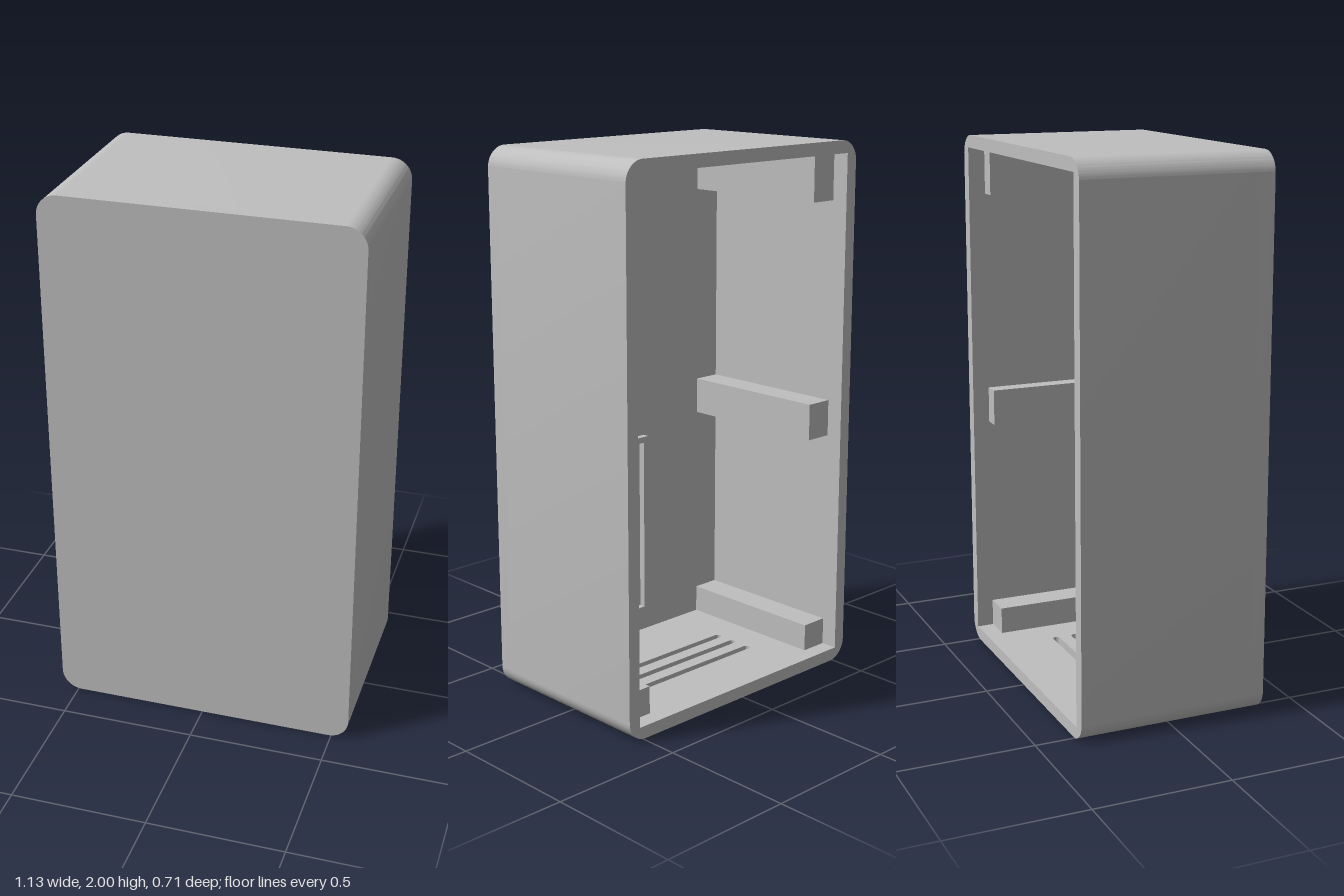
import * as THREE from 'three';
import { toCreasedNormals } from 'three/addons/utils/BufferGeometryUtils.js';

const W = 0.563, H = 2, D = 0.353, T = 0.047, R = 0.075; // half width, height, half depth, wall, corner radius
const FRONT = D - T; // inner face of the front wall
const GAP = 0.4;     // half width of the slotted floor panel

export function createModel() {
  const group = new THREE.Group();
  const grey = new THREE.MeshStandardMaterial({ color: 0xbfbfbf });
  grey.name = 'grey plastic';

  const add = (name, geometry, parent = group) => {
    const mesh = new THREE.Mesh(geometry, grey);
    mesh.name = name;
    parent.add(mesh);
    return mesh;
  };
  const extrude = (shape, depth) => toCreasedNormals(
    new THREE.ExtrudeGeometry(shape, { depth, bevelEnabled: false, curveSegments: 12 }), 0.6);
  const box = (name, x0, x1, y0, y1, z0, z1, parent) => {
    const mesh = add(name, new THREE.BoxGeometry(x1 - x0, y1 - y0, z1 - z0), parent);
    mesh.position.set((x0 + x1) / 2, (y0 + y1) / 2, (z0 + z1) / 2);
  };

  // Rounded outline, running from the right of the floor gap round to the left of it
  const outline = () => {
    const s = new THREE.Shape();
    s.moveTo(GAP, 0);
    s.lineTo(W - R, 0);
    s.absarc(W - R, R, R, -Math.PI / 2, 0);
    s.absarc(W - R, H - R, R, 0, Math.PI / 2);
    s.absarc(-W + R, H - R, R, Math.PI / 2, Math.PI);
    s.absarc(-W + R, R, R, Math.PI, Math.PI * 1.5);
    s.lineTo(-GAP, 0);
    return s;
  };

  // Front wall
  add('frontWall', extrude(outline(), T)).position.z = FRONT;

  // Side walls and top, with square inner corners, open at the back
  const walls = outline();
  const inner = [[-GAP, T], [-W + T, T], [-W + T, H - T], [W - T, H - T], [W - T, T], [GAP, T]];
  inner.forEach(([x, y]) => walls.lineTo(x, y));
  add('sideWalls', extrude(walls, FRONT + D)).position.z = -D;

  // Floor with three rounded vent slots
  const floor = new THREE.Shape();
  floor.moveTo(-GAP, -FRONT);
  floor.lineTo(GAP, -FRONT);
  floor.lineTo(GAP, D);
  floor.lineTo(-GAP, D);
  const slotHalf = 0.27, slotR = 0.014;
  for (const z of [-0.112, -0.034, 0.044]) {
    const slot = new THREE.Path();
    slot.absarc(slotHalf, -z, slotR, -Math.PI / 2, Math.PI / 2);
    slot.absarc(-slotHalf, -z, slotR, Math.PI / 2, Math.PI * 1.5);
    slot.closePath();
    floor.holes.push(slot);
  }
  add('ventedFloor', extrude(floor, T).rotateX(-Math.PI / 2));

  // Mounting posts along both side walls
  const posts = new THREE.Group();
  posts.name = 'mountingPosts';
  group.add(posts);
  const inX = W - T;
  const rows = [ // bottom, top, left width, right width
    [T, 0.15, 0.106, 0.106],
    [0.89, 1.027, 0.06, 0.106],
    [1.778, H - T, 0.06, 0.106],
  ];
  for (const [y0, y1, left, right] of rows) {
    box('leftPost', inX - left, inX, y0, y1, -0.29, FRONT, posts);
    box('rightPost', -inX, -inX + right, y0, y1, -0.29, FRONT, posts);
  }

  // Raised rectangular frame inside the front wall
  const rect = (path, x0, x1, y0, y1) => {
    path.moveTo(x0, y0);
    path.lineTo(x1, y0);
    path.lineTo(x1, y1);
    path.lineTo(x0, y1);
    path.closePath();
    return path;
  };
  const frame = rect(new THREE.Shape(), -0.12, 0.42, 0.13, 0.85);
  frame.holes.push(rect(new THREE.Path(), -0.097, 0.397, 0.153, 0.827));
  add('innerFrame', extrude(frame, 0.025)).position.z = FRONT - 0.025;

  return group;
}
